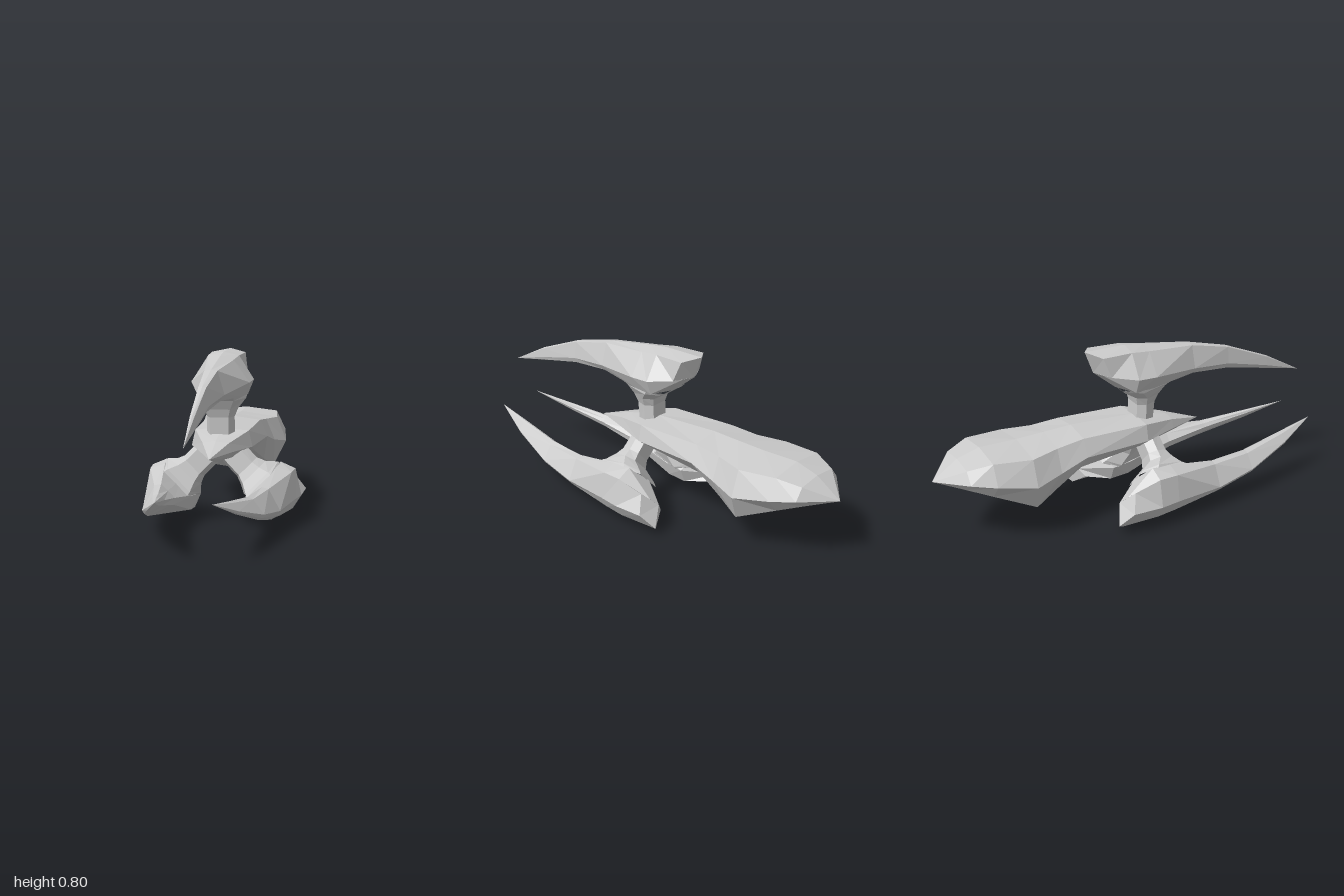
import * as THREE from 'three';

const hullGrey = new THREE.MeshStandardMaterial({ color: 0xcccccc, flatShading: true });
hullGrey.name = 'hullGrey';

// Skin a list of closed rings (each an array of [x, y, z]) with flat faces, diagonals mirrored left to right
function loft(rings, name) {
  const v = rings.map(r => r.map(p => new THREE.Vector3(...p)));
  const pos = [];
  const tri = (a, b, c) => {
    const area = b.clone().sub(a).cross(c.clone().sub(a)).length();
    if (area > 1e-7) for (const p of [a, b, c]) pos.push(p.x, p.y, p.z);
  };
  const n = v[0].length;
  for (let k = 0; k < v.length - 1; k++) {
    for (let i = 0; i < n; i++) {
      const j = (i + 1) % n;
      const [a, b, c, d] = [v[k][i], v[k + 1][i], v[k + 1][j], v[k][j]];
      if (i < n / 2) { tri(a, b, c); tri(a, c, d); }
      else { tri(a, b, d); tri(b, c, d); }
    }
  }
  const g = new THREE.BufferGeometry();
  g.setAttribute('position', new THREE.Float32BufferAttribute(pos, 3));
  g.computeVertexNormals();
  const mesh = new THREE.Mesh(g, hullGrey);
  mesh.name = name;
  return mesh;
}

// Mirror a half section, listed top to bottom as [x, y, dz], into a closed ring at z
function section(z, half) {
  const left = half.map(([x, y, dz = 0]) => [-x, y, z + dz]);
  const right = half.slice(1, -1).reverse().map(([x, y, dz = 0]) => [x, y, z + dz]);
  return [...left, ...right];
}
const point = (y, z) => section(z, Array.from({ length: 5 }, () => [0, y]));

// Six-sided ring lying flat at height y: half width hx at zm, half width f at both ends z0 and z1
const flatRing = (y, hx, f, z0, zm, z1) =>
  [[hx, y, zm], [f, y, z0], [-f, y, z0], [-hx, y, zm], [-f, y, z1], [f, y, z1]];

// Curved claw pod with the neck that joins it to the hull
function makeClaw(name) {
  const claw = new THREE.Group();
  claw.name = name;
  claw.add(loft([
    point(0.49, 1),
    section(0.8, [[0, 0.6], [0.01, 0.595], [0.015, 0.55], [0.01, 0.535], [0, 0.53]]),
    section(0.56, [[0, 0.697], [0.018, 0.693], [0.03, 0.61], [0.02, 0.585], [0, 0.58]]),
    section(0.345, [[0, 0.748], [0.03, 0.744], [0.063, 0.635], [0.045, 0.607], [0, 0.605]]),
    section(0.09, [[0, 0.788], [0.063, 0.77], [0.14, 0.665], [0.105, 0.597], [0, 0.595]]),
    section(-0.01, [[0, 0.8], [0.075, 0.783], [0.147, 0.67], [0.118, 0.597], [0, 0.595, -0.05]]),
    section(-0.15, [[0, 0.8, -0.07], [0.083, 0.785, -0.015], [0.1, 0.69, 0.02], [0.05, 0.69, -0.005], [0, 0.69, -0.027]]),
    // pointed stern closing onto the centre line
    section(-0.18, [[0, 0.8, -0.04], [0, 0.8, -0.04], [0, 0.69, 0.003], [0, 0.69, 0.003], [0, 0.69, 0.003]]),
  ], 'clawBlade'));
  claw.add(loft([
    flatRing(0.6, 0.118, 0.08, -0.06, 0.02, 0.19),
    flatRing(0.585, 0.116, 0.075, -0.045, 0.03, 0.17),
    flatRing(0.54, 0.083, 0.055, 0.025, 0.07, 0.145),
    flatRing(0.5, 0.067, 0.045, 0.035, 0.075, 0.13),
    flatRing(0.40, 0.067, 0.045, 0.03, 0.07, 0.12),
  ], 'clawNeck'));
  return claw;
}

export function createModel() {
  const model = new THREE.Group();
  model.name = 'ship';

  // Central hull, from the nose to the pointed tail with its keel
  model.add(loft([
    point(0.343, 0.4),
    section(0.22, [[0, 0.4], [0.063, 0.393], [0.075, 0.35], [0.04, 0.32], [0, 0.3]]),
    section(0.04, [[0, 0.437], [0.13, 0.428], [0.148, 0.35], [0.08, 0.3], [0, 0.277]]),
    section(-0.3, [[0, 0.45], [0.138, 0.432], [0.175, 0.35], [0.11, 0.275], [0, 0.257]]),
    section(-0.44, [[0, 0.443], [0.15, 0.418], [0.195, 0.31], [0.14, 0.21], [0, 0.19]]),
    section(-0.58, [[0, 0.437], [0.19, 0.41], [0.238, 0.287], [0.175, 0.157, 0.02], [0, 0.132, 0.02]]),
    section(-0.765, [[0, 0.437], [0.165, 0.418], [0.212, 0.32], [0.15, 0.25], [0, 0.238]]),
    section(-0.875, [[0, 0.403], [0.12, 0.39], [0.165, 0.335], [0.09, 0.285], [0, 0.277]]),
    point(0.315, -1),
  ], 'hull'));

  // One claw above and a pair splayed below
  model.add(makeClaw('topClaw'));
  for (const side of [1, -1]) {
    const claw = makeClaw(side > 0 ? 'leftClaw' : 'rightClaw');
    claw.rotation.z = -side * Math.PI * 0.75;
    claw.position.set(-side * 0.2265, 0.6115, 0);
    model.add(claw);
  }
  return model;
}
